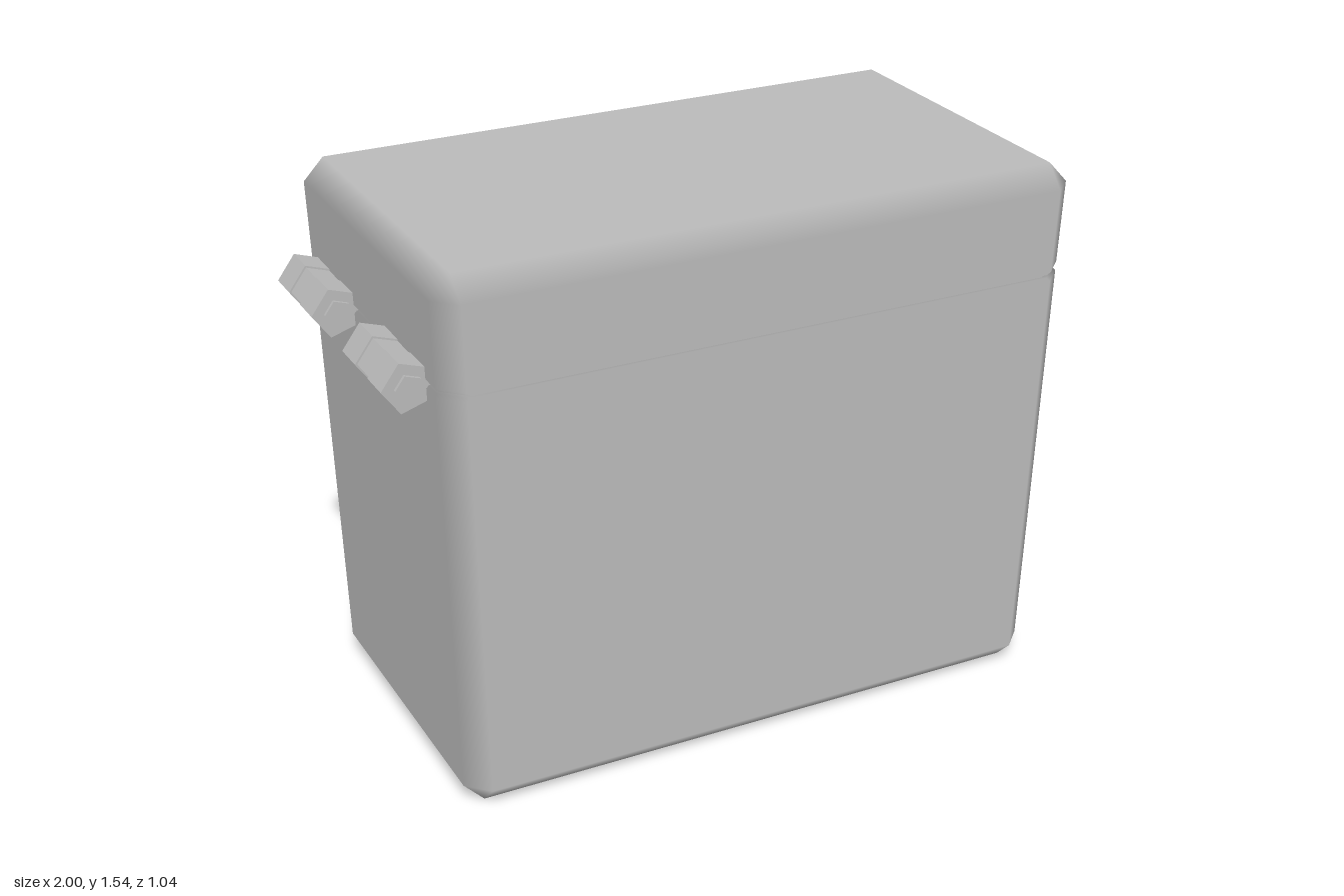
import * as THREE from 'three';

const grey = new THREE.MeshStandardMaterial({ color: 0xbbbbbb });
grey.name = 'grey plastic';

const CX = 0.033; // the box sits slightly off centre, balancing hinges and latch

// Box with chamfered corners from rings [y, halfX, halfZ, chamfer, normalY].
// Flat faces keep their own normals, so the chamfers between them shade as rounded.
function chamferedShell(name, rings) {
  const pos = [], nor = [], idx = [];
  for (const [y, hx, hz, c, ny] of rings) {
    const loop = [[-hx + c, hz], [hx - c, hz], [hx, hz - c], [hx, -hz + c],
      [hx - c, -hz], [-hx + c, -hz], [-hx, -hz + c], [-hx, hz - c]];
    const sides = [[0, 1], [1, 0], [0, -1], [-1, 0]];
    loop.forEach(([x, z], i) => {
      const [nx, nz] = sides[i >> 1];
      pos.push(x + CX, y, z);
      nor.push(ny ? 0 : nx, ny, ny ? 0 : nz);
    });
  }
  for (let r = 0; r < rings.length - 1; r++) {
    for (let i = 0; i < 8; i++) {
      const a = r * 8 + i, b = r * 8 + (i + 1) % 8;
      idx.push(a, b, b + 8, a, b + 8, a + 8);
    }
  }
  // End caps
  const top = (rings.length - 1) * 8;
  for (let i = 1; i < 7; i++) {
    idx.push(0, i + 1, i);
    idx.push(top, top + i, top + i + 1);
  }
  const g = new THREE.BufferGeometry();
  g.setAttribute('position', new THREE.Float32BufferAttribute(pos, 3));
  g.setAttribute('normal', new THREE.Float32BufferAttribute(nor, 3));
  g.setIndex(idx);
  const mesh = new THREE.Mesh(g, grey);
  mesh.name = name;
  return mesh;
}

// Extrude an (x, y) outline along z, centred on the given z
function prism(name, points, width, z = 0) {
  const shape = new THREE.Shape(points.map(([x, y]) => new THREE.Vector2(x, y)));
  const g = new THREE.ExtrudeGeometry(shape, { depth: width, bevelEnabled: false });
  g.translate(0, 0, z - width / 2);
  const mesh = new THREE.Mesh(g, grey);
  mesh.name = name;
  return mesh;
}

function box(name, w, h, d, x, y, z) {
  const mesh = new THREE.Mesh(new THREE.BoxGeometry(w, h, d), grey);
  mesh.position.set(x, y, z);
  mesh.name = name;
  return mesh;
}

// Five-sided outline pointing away from the box, for the hinge barrels
function pentagon(r) {
  return Array.from({ length: 5 }, (_, i) => {
    const a = Math.PI + i * Math.PI * 2 / 5;
    return [-0.928 + r * Math.cos(a), 1.235 + r * Math.sin(a)];
  });
}

function createHinge(z) {
  const hinge = new THREE.Group();
  hinge.name = 'hinge';
  for (const s of [-1, 1]) hinge.add(prism('hingeKnuckle', pentagon(0.072), 0.095, z + s * 0.0925));
  hinge.add(prism('hingeMiddleKnuckle', pentagon(0.066), 0.09, z));
  hinge.add(prism('hingePin', pentagon(0.038), 0.30, z));
  return hinge;
}

function createLatch() {
  const latch = new THREE.Group();
  latch.name = 'latch';
  // Bent plate bridging lid and body
  latch.add(prism('latchPlate', [
    [0.94, 1.01], [0.972, 1.01], [0.977, 1.15], [0.998, 1.24], [0.977, 1.32],
    [0.972, 1.48], [0.955, 1.48], [0.957, 1.32], [0.975, 1.24], [0.95, 1.15],
  ], 0.29));
  latch.add(box('latchGrip', 0.03, 0.07, 0.22, 0.984, 1.085, 0));
  // Pin at the top of the latch
  const pin = new THREE.Mesh(new THREE.CylinderGeometry(0.016, 0.016, 0.31, 8), grey);
  pin.rotation.x = Math.PI / 2;
  pin.position.set(0.972, 1.475, 0);
  pin.name = 'latchPin';
  latch.add(pin);
  return latch;
}

export function createModel() {
  const model = new THREE.Group();
  model.name = 'coolerBox';

  // Tapered body
  model.add(chamferedShell('body', [
    [0, 0.825, 0.437, 0, -1],
    [0.06, 0.883, 0.497, 0.06, 0],
    [1.222, 0.915, 0.516, 0.06, 0],
    [1.23, 0.908, 0.509, 0.06, 0],
  ]));
  // Recessed seam between body and lid
  model.add(chamferedShell('seam', [
    [1.22, 0.9, 0.5, 0.06, 0],
    [1.26, 0.9, 0.5, 0.06, 0],
  ]));
  // Lid
  model.add(chamferedShell('lid', [
    [1.238, 0.908, 0.509, 0.06, 0],
    [1.248, 0.916, 0.516, 0.06, 0],
    [1.483, 0.923, 0.522, 0.06, 0],
    [1.545, 0.865, 0.462, 0, 1],
  ]));

  model.add(createLatch());
  for (const z of [-0.265, 0.255]) model.add(createHinge(z));
  return model;
}
